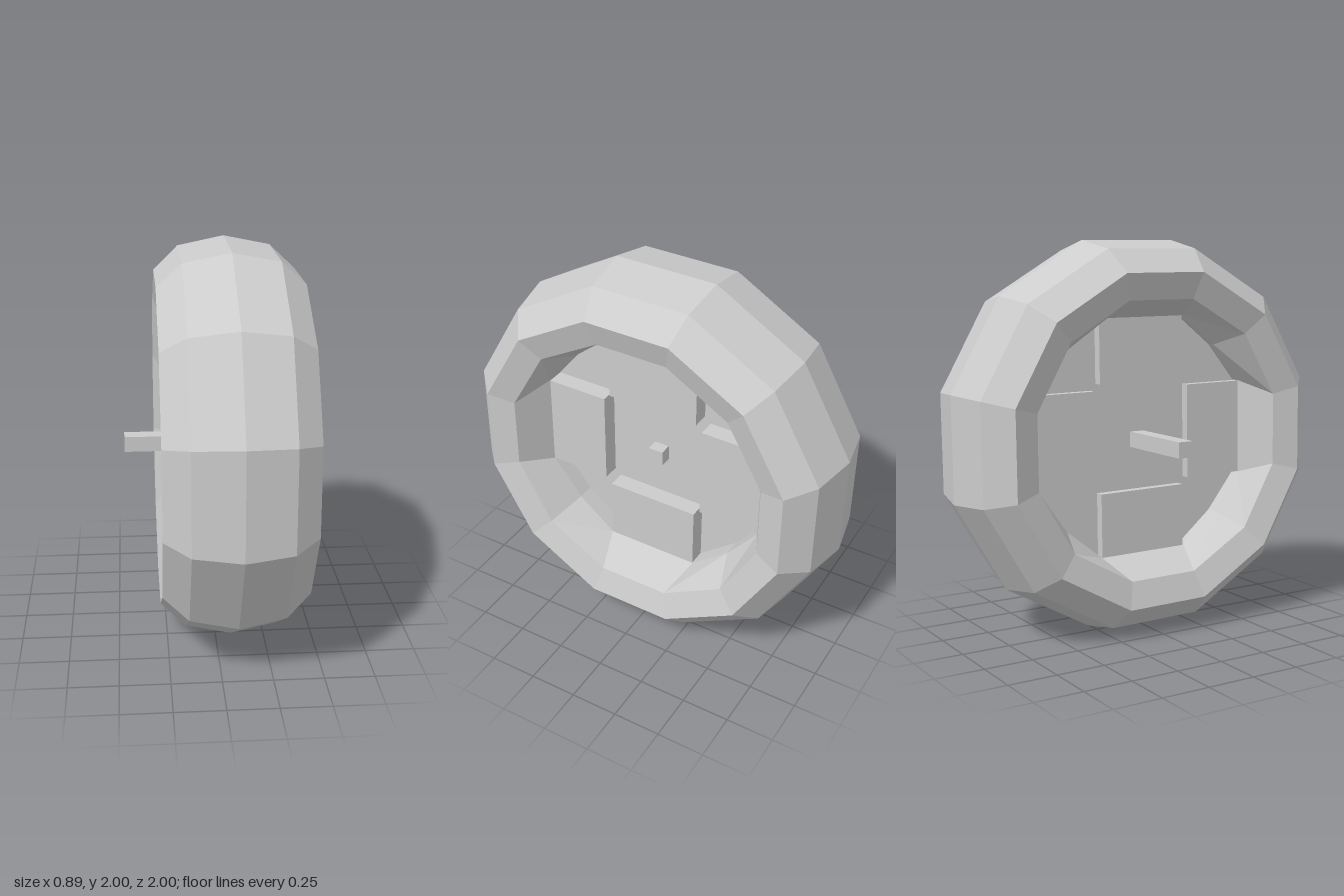
import * as THREE from 'three';

const SIDES = 12, TUBE = 9;
const material = new THREE.MeshStandardMaterial({ color: 0xcccccc, flatShading: true });

// Corner of the inner rim: a twelve-sided outline with four wide flats for the blocks
function rimCorner(j) {
  const quarter = Math.floor(j / 3) * Math.PI / 2;
  const angle = quarter + [0.389, Math.PI / 4, Math.PI / 2 - 0.389][j % 3];
  const r = j % 3 === 1 ? 0.635 : 0.659;
  return [r * Math.cos(angle), r * Math.sin(angle)];
}

// Closed ring with a nine-sided oval section; its two innermost loops follow the rim outline
function tyreGeometry() {
  const positions = [], index = [];
  for (let i = 0; i < TUBE; i++) {
    const t = i * 2 * Math.PI / TUBE;
    const r = 1.032 - 0.205 * (1 - Math.cos(t));
    for (let j = 0; j < SIDES; j++) {
      const a = (j + 0.5) * 2 * Math.PI / SIDES;
      const [x, y] = i === 4 || i === 5 ? rimCorner(j) : [r * Math.cos(a), r * Math.sin(a)];
      positions.push(x, y, 0.368 * Math.sin(t));
      const i2 = (i + 1) % TUBE, j2 = (j + 1) % SIDES;
      const p = i * SIDES + j, q = i * SIDES + j2, s = i2 * SIDES + j2, u = i2 * SIDES + j;
      index.push(p, q, s, p, s, u);
    }
  }
  const geometry = new THREE.BufferGeometry();
  geometry.setAttribute('position', new THREE.Float32BufferAttribute(positions, 3));
  geometry.setIndex(index);
  const flat = geometry.toNonIndexed();
  flat.computeVertexNormals();
  return flat;
}

export function createModel() {
  const model = new THREE.Group();
  model.name = 'wheel';

  // Everything is built around the local z axis, then turned so the axle runs along x
  const wheel = new THREE.Group();
  wheel.name = 'wheelAssembly';
  wheel.position.set(0.08, 1, 0);
  wheel.rotation.set(0, Math.PI / 2, -0.012);
  model.add(wheel);

  const add = (name, geometry, parent = wheel) => {
    const mesh = new THREE.Mesh(geometry, material);
    mesh.name = name;
    parent.add(mesh);
    return mesh;
  };

  add('tyre', tyreGeometry());

  // Recessed hub plate
  const outline = new THREE.Shape();
  for (let j = 0; j < SIDES; j++) {
    const [x, y] = rimCorner(j);
    if (j === 0) outline.moveTo(x, y);
    else outline.lineTo(x, y);
  }
  outline.closePath();
  const plate = new THREE.ExtrudeGeometry(outline, { depth: 0.115, bevelEnabled: false });
  add('hubPlate', plate.translate(0, 0, -0.08));

  // Four raised blocks, flush with the rim edge on both sides
  for (let k = 0; k < 4; k++) {
    const block = add('hubBlock', new THREE.BoxGeometry(0.33, 0.495, 0.252).translate(0.445, 0, 0));
    block.rotation.z = k * Math.PI / 2;
  }

  // Square axle, long on the inner side
  const axle = add('axle', new THREE.BoxGeometry(0.63, 0.08, 0.08), model);
  axle.position.set(-0.135, 0.98, -0.005);

  return model;
}
